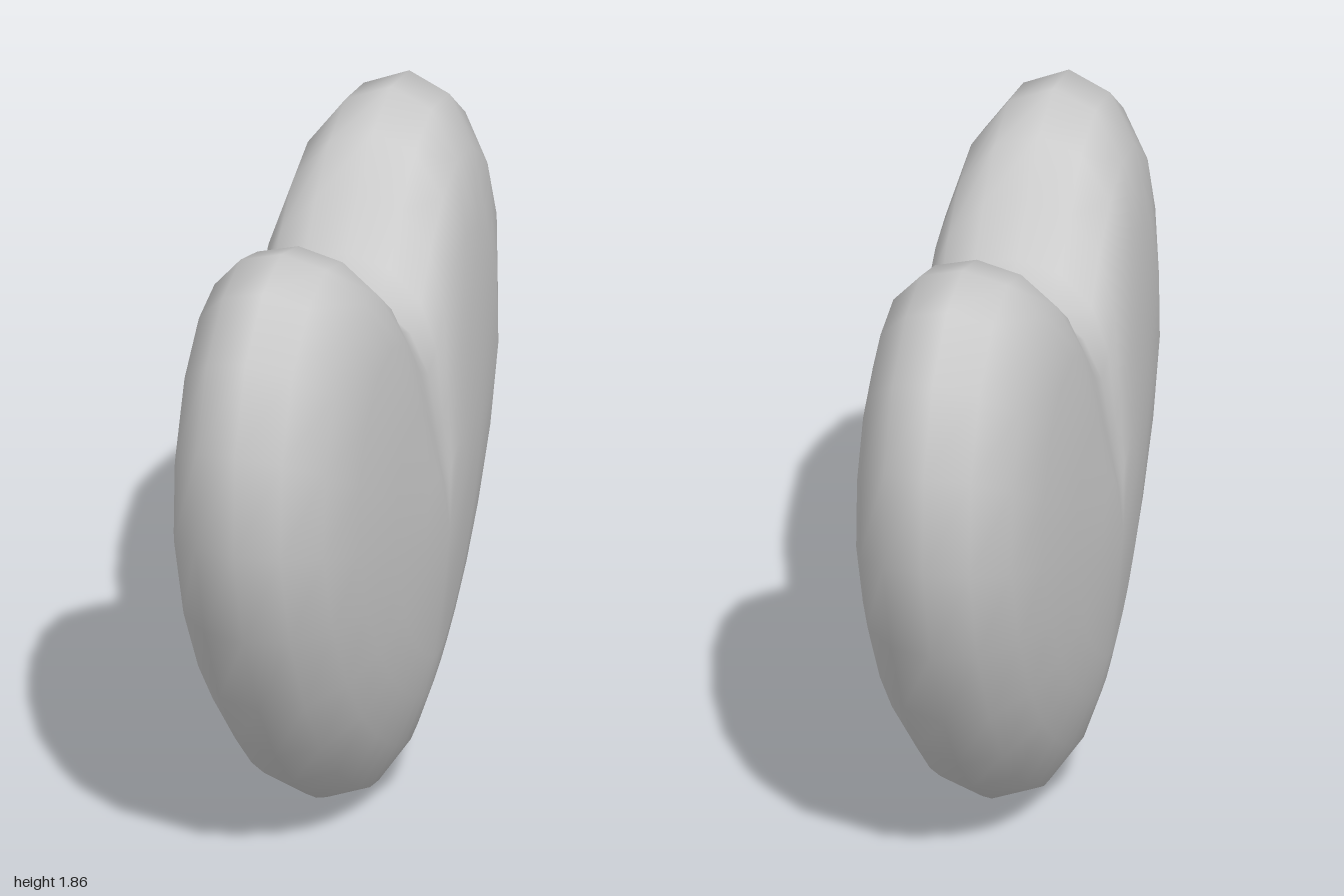
import * as THREE from 'three';

const CENTRE_Y = 0.82;

// Half outline of the heart as [z, y], from the cleft round to the bottom tip
const HALF = [
  [0, 1.5], [0.11, 1.56], [0.22, 1.69], [0.365, 1.805], [0.535, 1.86], [0.715, 1.825],
  [0.88, 1.69], [0.985, 1.46], [1, 1.17], [0.905, 0.865], [0.755, 0.59], [0.595, 0.38],
  [0.43, 0.225], [0.3, 0.13], [0.19, 0.065], [0.09, 0.02], [0, 0],
];

// Pillow profile: [x, outline scale at the lobes, outline scale at the tip]
const PROFILE = [
  [0.312, 0.2, 0.2], [0.288, 0.42, 0.45], [0.26, 0.68, 0.6],
  [0.21, 0.85, 0.78], [0.12, 0.96, 0.945], [0, 1, 1],
];

function heartGeometry() {
  // Mirror the half outline into a closed loop
  const outline = [...HALF, ...HALF.slice(1, -1).reverse().map(([z, y]) => [-z, y])];
  // Mirror the profile from the +x face to the -x face
  const rings = [...PROFILE, ...PROFILE.slice(0, -1).reverse().map(([x, a, b]) => [-x, a, b])];
  const n = outline.length;
  const positions = [0.32, CENTRE_Y, 0];
  const index = [];

  for (const [x, lobe, tip] of rings) {
    for (const [z, y] of outline) {
      const s = THREE.MathUtils.lerp(tip, lobe, THREE.MathUtils.smoothstep(y, 0, 1.2));
      positions.push(x, CENTRE_Y + (y - CENTRE_Y) * s, z * s);
    }
  }
  const lastPole = positions.length / 3;
  positions.push(-0.32, CENTRE_Y, 0);

  const at = (ring, j) => 1 + ring * n + (j % n);
  for (let j = 0; j < n; j++) {
    index.push(0, at(0, j), at(0, j + 1));
    for (let r = 0; r < rings.length - 1; r++) {
      const a = at(r, j), b = at(r, j + 1), c = at(r + 1, j + 1), d = at(r + 1, j);
      index.push(a, d, c, a, c, b);
    }
    index.push(lastPole, at(rings.length - 1, j + 1), at(rings.length - 1, j));
  }

  const geometry = new THREE.BufferGeometry();
  geometry.setAttribute('position', new THREE.Float32BufferAttribute(positions, 3));
  geometry.setIndex(index);
  geometry.computeVertexNormals();
  return geometry;
}

export function createModel() {
  const group = new THREE.Group();
  group.name = 'heartModel';
  const heart = new THREE.Mesh(heartGeometry(), new THREE.MeshStandardMaterial({ color: 0xcccccc }));
  heart.name = 'heart';
  group.add(heart);
  return group;
}
